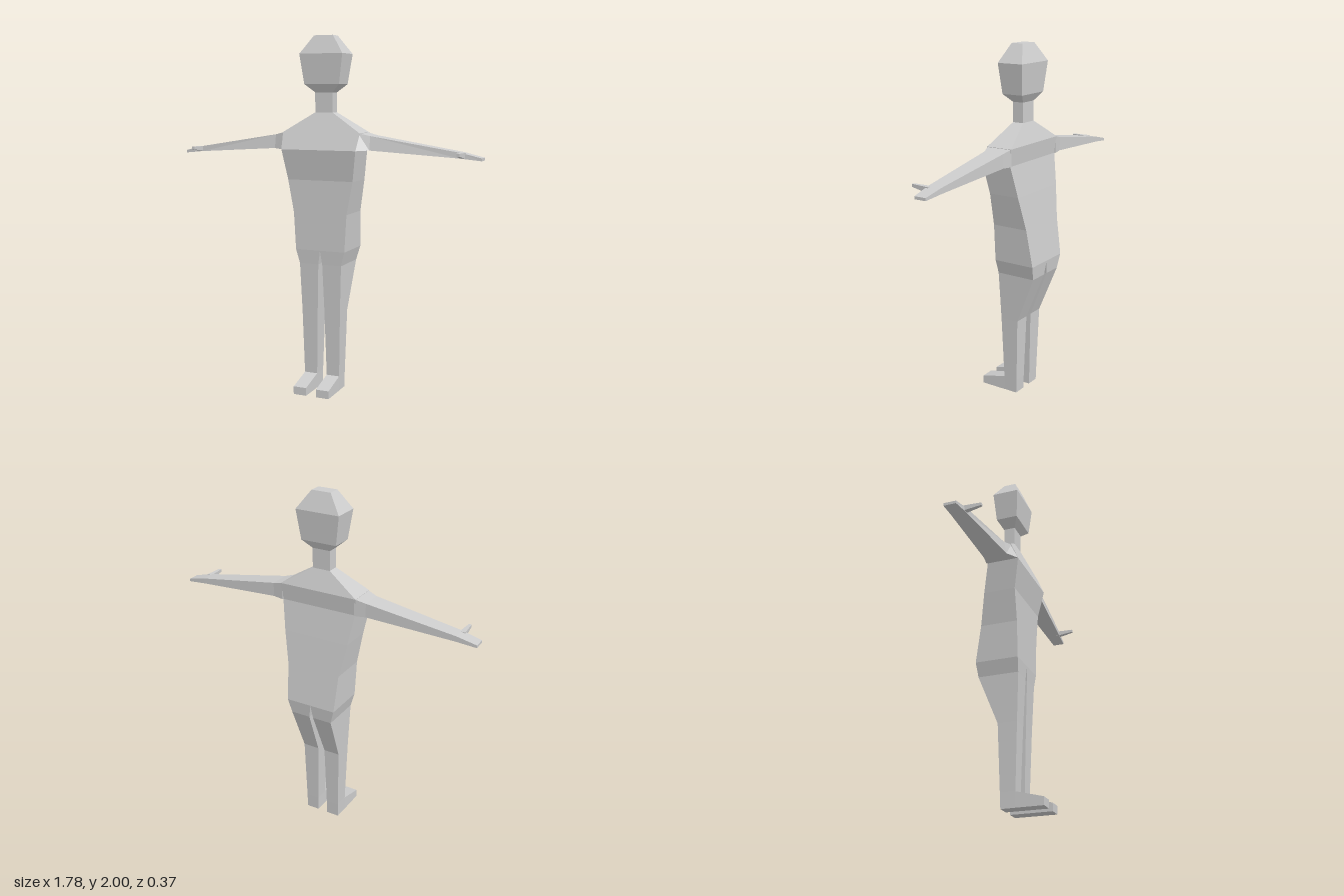
import * as THREE from 'three';

const skin = new THREE.MeshStandardMaterial({ color: 0xcccccc, flatShading: true });
skin.name = 'plainGrey';

// Four-cornered cross-sections, anticlockwise when seen from the end they run towards.
const levelRing = (y, x0, x1, z0, z1) => [[x0, y, z1], [x1, y, z1], [x1, y, z0], [x0, y, z0]];
const depthRing = (z, x0, x1, y0, y1) => [[x0, y0, z], [x1, y0, z], [x1, y1, z], [x0, y1, z]];
const sideRing = (x, y0, y1, back, topFront, bottomFront) =>
  [[x, y0, bottomFront], [x, y0, back], [x, y1, back], [x, y1, topFront]];

// Joins rings into a closed flat-shaded solid; side = -1 mirrors it across x.
function loft(name, rings, side = 1) {
  const positions = [];
  const quad = (a, b, c, d) => {
    const tris = [a, b, c, a, c, d];
    if (side < 0) tris.reverse();
    for (const p of tris) positions.push(p[0] * side, p[1], p[2]);
  };
  for (let i = 0; i < rings.length - 1; i++) {
    const a = rings[i], b = rings[i + 1];
    for (let k = 0; k < 4; k++) {
      const n = (k + 1) % 4;
      quad(a[k], a[n], b[n], b[k]);
    }
  }
  const first = rings[0], last = rings[rings.length - 1];
  quad(first[0], first[3], first[2], first[1]);
  quad(last[0], last[1], last[2], last[3]);
  const geometry = new THREE.BufferGeometry();
  geometry.setAttribute('position', new THREE.Float32BufferAttribute(positions, 3));
  geometry.computeVertexNormals();
  const mesh = new THREE.Mesh(geometry, skin);
  mesh.name = name;
  return mesh;
}

// Stacks left-right symmetric rings given as [y, half width, back z, front z].
const stack = (name, rows) => loft(name, rows.map(([y, w, z0, z1]) => levelRing(y, -w, w, z0, z1)));

export function createModel() {
  const model = new THREE.Group();
  model.name = 'figure';

  // Torso from hips to the base of the neck
  model.add(stack('torso', [
    [0.81, 0.148, -0.185, 0.06],
    [1.02, 0.16, -0.152, 0.06],
    [1.205, 0.195, -0.122, 0.06],
    [1.375, 0.222, -0.092, 0.09],
    [1.47, 0.23, -0.102, 0.05],
    [1.58, 0.052, -0.06, 0.005],
  ]));

  // Neck and faceted head
  model.add(stack('neck', [[1.57, 0.052, -0.06, 0.005], [1.69, 0.052, -0.06, 0.005]]));
  model.add(stack('head', [
    [1.69, 0.052, -0.06, 0.005],
    [1.735, 0.104, -0.088, 0.037],
    [1.9, 0.128, -0.102, 0.05],
    [2.0, 0.056, -0.06, 0.01],
  ]));

  for (const side of [1, -1]) {
    const label = side > 0 ? 'left' : 'right';
    const dz = side > 0 ? 0 : 0.013; // the right hand sits slightly further forward

    // Arm tapering into a flat hand
    model.add(loft(label + 'Arm', [
      sideRing(0.222, 1.375, 1.47, -0.1, 0.05, 0.09),
      sideRing(0.285, 1.378, 1.455, -0.09, 0.03, 0.045),
      sideRing(0.78, 1.346, 1.376, -0.074 + dz, 0.006 + dz, 0.008 + dz),
      sideRing(0.89, 1.335, 1.35, -0.068 + dz, dz, dz),
    ], side));

    // Thumb pointing forward
    model.add(loft(label + 'Thumb', [
      depthRing(-0.01 + dz, 0.772, 0.803, 1.345, 1.376),
      depthRing(0.094 + dz, 0.78, 0.795, 1.362, 1.377),
    ], side));

    // Leg from ankle to hip, with the seat swelling backwards
    model.add(loft(label + 'Leg', [
      levelRing(0, 0.03, 0.106, -0.05, 0.03),
      levelRing(0.085, 0.03, 0.107, -0.053, 0.032),
      levelRing(0.455, 0.021, 0.116, -0.065, 0.044),
      levelRing(0.73, 0.012, 0.126, -0.176, 0.055),
      levelRing(0.81, 0, 0.148, -0.185, 0.06),
    ], side));

    // Wedge-shaped foot
    model.add(loft(label + 'Foot', [
      depthRing(0.03, 0.03, 0.107, 0, 0.085),
      depthRing(0.185, 0.03, 0.107, 0, 0.045),
    ], side));
  }
  return model;
}
